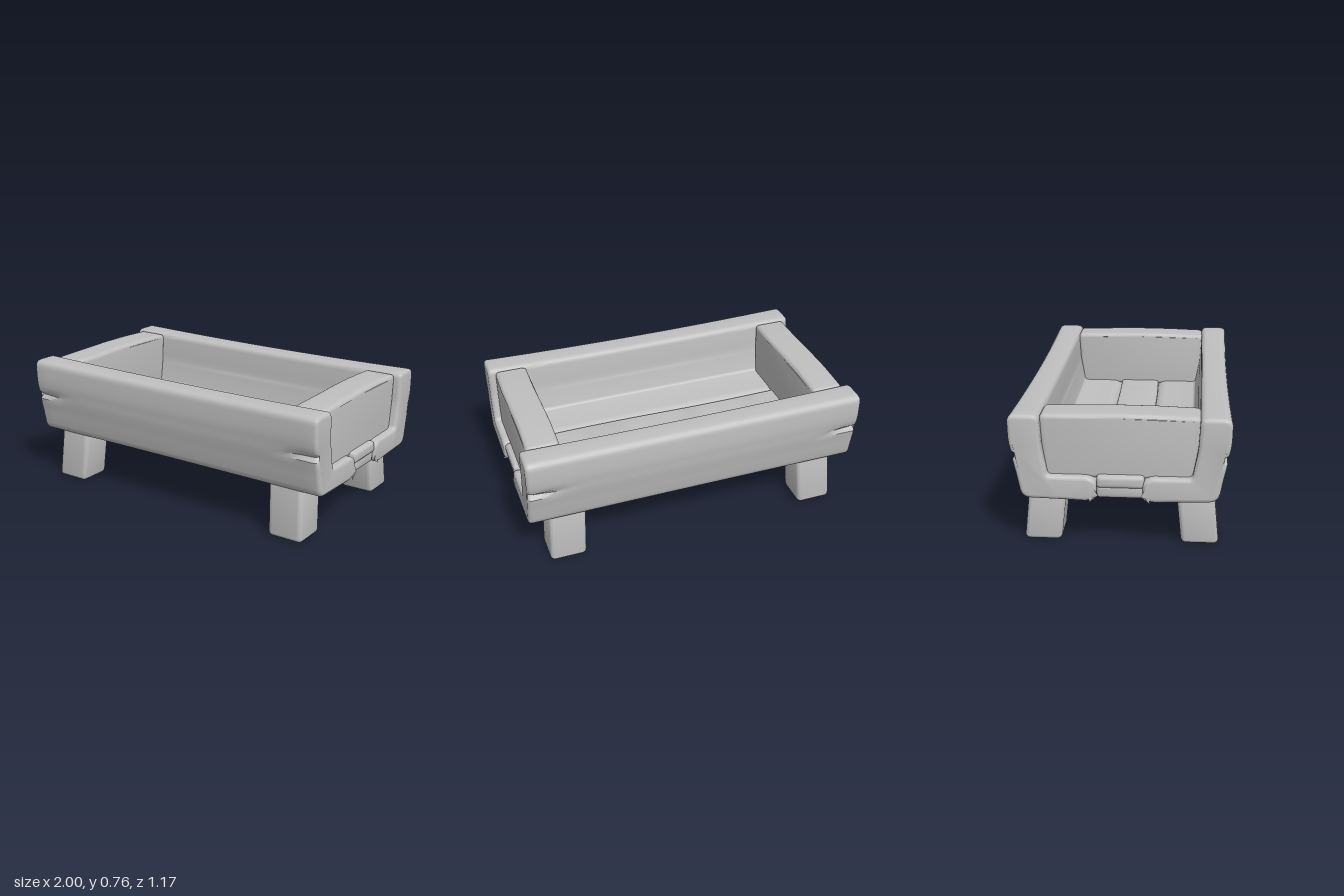
import * as THREE from 'three';
import { toCreasedNormals } from 'three/addons/utils/BufferGeometryUtils.js';
import { RoundedBoxGeometry } from 'three/addons/geometries/RoundedBoxGeometry.js';

const bump = (v, centre, width) => Math.exp(-(((v - centre) / width) ** 2));

// Closed outline from [z, y, cornerRadius] points; radius 0 is a plain point
function roundedShape(points) {
  const shape = new THREE.Shape();
  const n = points.length;
  const toward = (a, b, r) => {
    const d = Math.hypot(b[0] - a[0], b[1] - a[1]);
    return [a[0] + ((b[0] - a[0]) * r) / d, a[1] + ((b[1] - a[1]) * r) / d];
  };
  points.forEach((p, i) => {
    const r = p[2];
    const a = toward(p, points[(i + n - 1) % n], r);
    const b = toward(p, points[(i + 1) % n], r);
    if (i === 0) shape.moveTo(...a);
    else shape.lineTo(...a);
    if (r > 0) shape.quadraticCurveTo(p[0], p[1], b[0], b[1]);
  });
  shape.closePath();
  return shape;
}

// Extrudes a z-y outline along x with soft ends, then bends it by a rule
function beam(points, length, steps, warp) {
  const bevel = 0.022;
  const geo = new THREE.ExtrudeGeometry(roundedShape(points), {
    depth: length - 2 * bevel, steps, curveSegments: 5,
    bevelEnabled: true, bevelThickness: bevel, bevelSize: bevel, bevelOffset: -bevel, bevelSegments: 4,
  });
  geo.translate(0, 0, bevel - length / 2);
  geo.rotateY(-Math.PI / 2);
  return bend(geo, warp);
}

function bend(geo, warp) {
  const pos = geo.attributes.position;
  const v = new THREE.Vector3();
  for (let i = 0; i < pos.count; i++) {
    warp(v.fromBufferAttribute(pos, i));
    pos.setXYZ(i, v.x, v.y, v.z);
  }
  geo.deleteAttribute('uv');
  return toCreasedNormals(geo, 0.7);
}

export function createModel() {
  const group = new THREE.Group();
  const wood = new THREE.MeshStandardMaterial({ color: 0xbfbfbf });
  wood.name = 'pale grey';
  const add = (name, geo) => {
    const mesh = new THREE.Mesh(geo, wood);
    mesh.name = name;
    group.add(mesh);
    return mesh;
  };

  // L-shaped long sides: upright wall and outer floor plank in one
  const sideProfile = [
    [0.588, 0.757, 0.045], [0.585, 0.62, 0.03], [0.574, 0.555, 0], [0.571, 0.53, 0], [0.566, 0.505, 0],
    [0.55, 0.44, 0.03], [0.522, 0.292, 0.05], [0.3, 0.286, 0.05], [0.16, 0.281, 0.03], [0.122, 0.312, 0.02],
    [0.122, 0.395, 0.025], [0.165, 0.421, 0.025], [0.382, 0.421, 0.022], [0.412, 0.58, 0.04], [0.42, 0.757, 0.035],
  ];
  for (const s of [1, -1]) {
    const points = sideProfile.map(([z, y, r]) => [z * s, y, r]);
    add(s > 0 ? 'frontSide' : 'backSide', beam(points, 2, 28, (v) => {
      const middle = 1 - v.x * v.x;
      const wall = THREE.MathUtils.smoothstep(v.y, 0.42, 0.72);
      v.y += middle * (wall > 0.5 ? -0.009 : 0.002);
      // gentle waist on the upright wall
      if (Math.abs(v.z) > 0.5) v.z -= s * 0.012 * middle * wall;
      // split running in from each end
      if (Math.abs(v.z) > 0.5) {
        const end = THREE.MathUtils.smoothstep(Math.abs(v.x), 0.72, 1);
        v.z -= s * 0.028 * end * bump(v.y, 0.53, 0.014);
        v.x -= Math.sign(v.x) * 0.012 * end * bump(v.y, 0.53, 0.02);
      }
    }));
  }

  // Middle floor plank, split into two layers at the ends
  const layer = (y0, y1) => [[0.127, y0, 0.022], [0.127, y1, 0.022], [-0.127, y1, 0.022], [-0.127, y0, 0.022]];
  const wave = (v) => { v.z += 0.006 * Math.sin(v.x * 4); };
  add('middlePlankUpper', beam(layer(0.355, 0.425), 1.985, 20, wave));
  add('middlePlankLower', beam(layer(0.296, 0.372), 1.965, 20, wave));

  // Thick end walls between the long sides
  const endProfile = [
    [0.425, 0.748, 0.03], [0.2, 0.754, 0], [0, 0.757, 0], [-0.2, 0.754, 0], [-0.425, 0.748, 0.03],
    [-0.415, 0.58, 0], [-0.39, 0.4, 0.02], [0.39, 0.4, 0.02], [0.415, 0.58, 0],
  ];
  for (const s of [1, -1]) {
    const mesh = add(s > 0 ? 'leftEndWall' : 'rightEndWall', beam(endProfile, 0.19, 4, (v) => {
      v.x += 0.004 * Math.sin(v.z * 8);
    }));
    mesh.position.x = s * 0.863;
  }

  // Four stubby legs, splayed outward toward the ground
  for (const sx of [1, -1]) {
    for (const sz of [1, -1]) {
      const geo = new RoundedBoxGeometry(0.215, 0.35, 0.205, 4, 0.028);
      geo.translate(0, 0.175, 0);
      const leg = bend(geo, (v) => {
        const t = v.y / 0.3;
        v.x += sx * (0.787 - 0.017 * t);
        v.z += sz * (0.43 - 0.03 * t);
      });
      add((sz > 0 ? 'front' : 'back') + (sx > 0 ? 'Left' : 'Right') + 'Leg', leg);
    }
  }
  return group;
}
